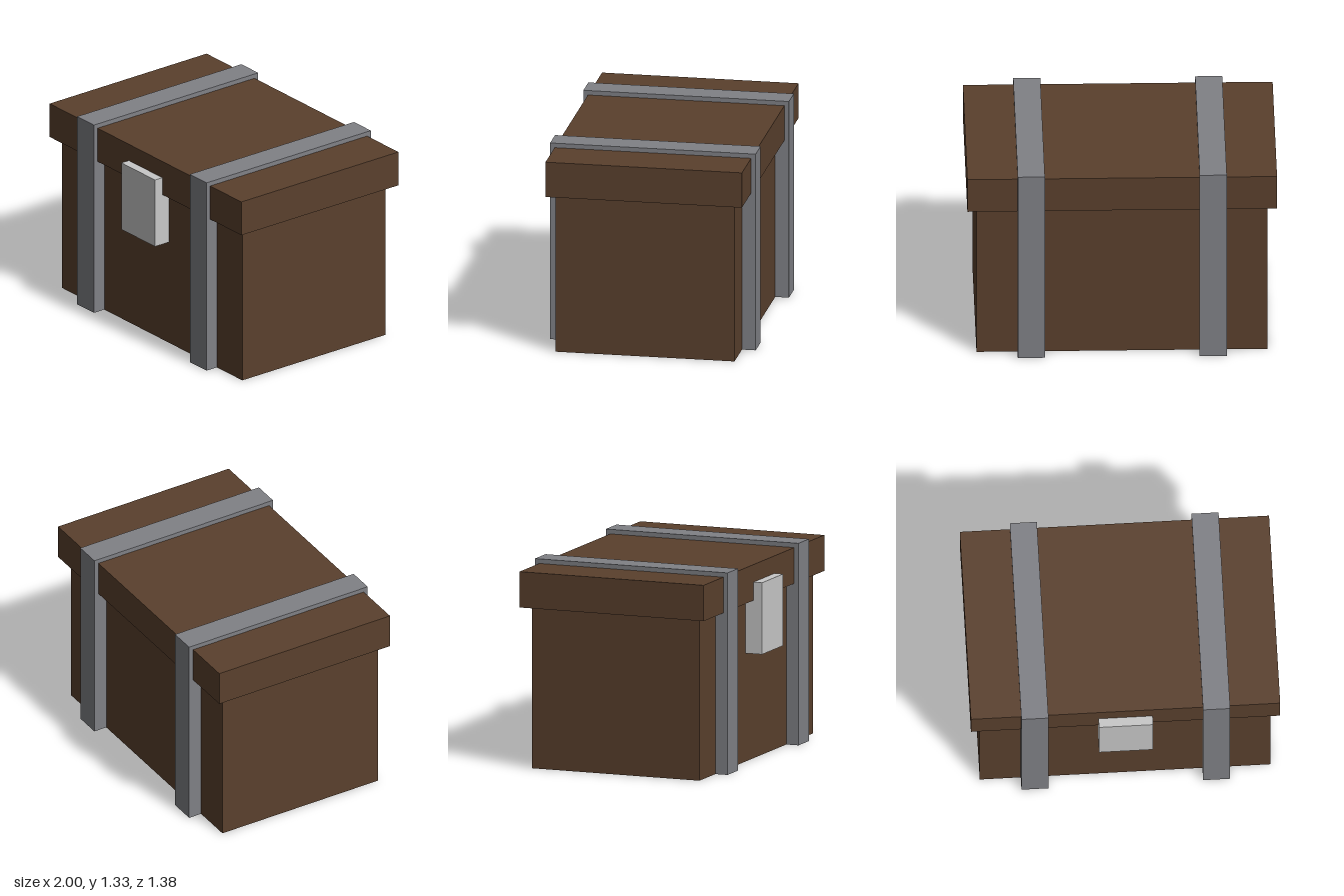
import * as THREE from 'three';

export function createModel() {
  const group = new THREE.Group();
  group.name = 'chest';

  const material = (name, color) => {
    const m = new THREE.MeshStandardMaterial({ color });
    m.name = name;
    return m;
  };
  const wood = material('brown wood', 0x5a402d);
  const iron = material('grey iron', 0x808186);
  const steel = material('pale steel', 0xc8c8c8);

  const add = (name, geometry, mat) => {
    const mesh = new THREE.Mesh(geometry, mat);
    mesh.name = name;
    group.add(mesh);
    return mesh;
  };

  // Box given by its limits on each axis
  const box = (name, [x0, x1], [y0, y1], [z0, z1], mat) =>
    add(name, new THREE.BoxGeometry(x1 - x0, y1 - y0, z1 - z0), mat)
      .position.set((x0 + x1) / 2, (y0 + y1) / 2, (z0 + z1) / 2);

  box('body', [-0.94, 0.94], [0, 1.1], [-0.6, 0.575], wood);
  box('lid', [-1, 1], [1.06, 1.295], [-0.66, 0.63], wood);
  box('latch', [-0.175, 0.175], [0.71, 1.18], [0.56, 0.69], steel);

  // Straps: an arch over the chest, reaching in to the body walls
  const arch = new THREE.Shape([
    [-0.69, 0], [-0.6, 0], [-0.6, 1.27], [0.575, 1.27],
    [0.575, 0], [0.66, 0], [0.66, 1.325], [-0.69, 1.325],
  ].map(([z, y]) => new THREE.Vector2(z, y)));
  const width = 0.175;
  const strap = new THREE.ExtrudeGeometry(arch, { depth: width, bevelEnabled: false });
  strap.translate(0, 0, -width / 2).rotateY(-Math.PI / 2);
  for (const [name, side] of [['leftStrap', 1], ['rightStrap', -1]]) {
    add(name, strap, iron).position.x = side * 0.5875;
  }

  return group;
}
